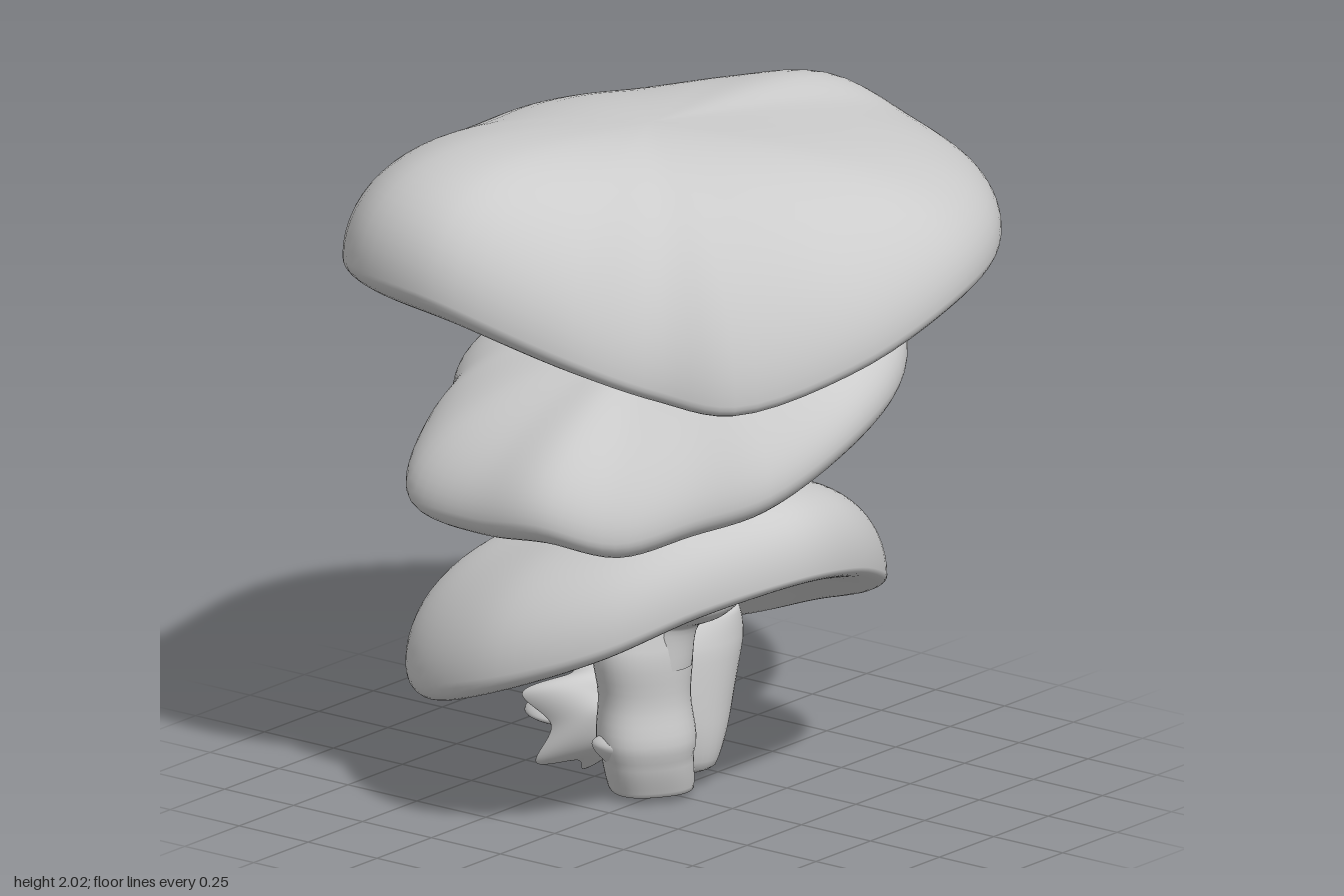
import * as THREE from 'three';
import { mergeVertices } from 'three/addons/utils/BufferGeometryUtils.js';

const material = new THREE.MeshStandardMaterial({ color: 0xcccccc });

// Smooth skin over a grid: u runs around (counter-clockwise from above), v from top to bottom
function skin(name, around, down, point) {
  const pos = [], index = [];
  for (let j = 0; j <= down; j++)
    for (let i = 0; i < around; i++) pos.push(...point(i / around, j / down));
  for (let j = 0; j < down; j++)
    for (let i = 0; i < around; i++) {
      const k = (i + 1) % around;
      const a = j * around + i, b = a + around, c = j * around + k, d = c + around;
      index.push(a, b, c, c, b, d);
    }
  let geo = new THREE.BufferGeometry();
  geo.setAttribute('position', new THREE.Float32BufferAttribute(pos, 3));
  geo.setIndex(index);
  geo = mergeVertices(geo, 1e-5);
  geo.computeVertexNormals();
  const mesh = new THREE.Mesh(geo, material);
  mesh.name = name;
  return mesh;
}

// Cap: a tilted plane that bends out to a wavy rim, a dome above it, a rolled lip and an underside.
// tilt is the slope along x and z, lean thins the dome toward +x, taper thins the lip toward +z;
// a negative hollow makes the underside swell downward.
function cap(name, rim, { centre, tilt = [0, 0], height, lean = 0, lip, taper = 0, hollow }) {
  const curve = new THREE.CatmullRomCurve3(rim.map(p => new THREE.Vector3(...p)), true);
  const [cx, cy, cz] = centre;
  return skin(name, 96, 44, (u, v) => {
    const p = curve.getPoint(u);
    const s = Math.sin(Math.PI * v);
    const dx = p.x - cx, dz = p.z - cz;
    const slope = tilt[0] * dx + tilt[1] * dz;
    const wave = p.y - cy - slope;
    const rise = v <= 0.5
      ? (height - lean * dx * s) * Math.sqrt(Math.max(0, 1 - s ** 3))
      : hollow * (1 - s * s) - (lip - taper * dz * s) * Math.sqrt(Math.max(0, 1 - s ** 8));
    return [cx + dx * s, cy + slope * s + wave * s * s + rise, cz + dz * s];
  });
}

// Stalk: smooth stack of elliptical rings [x, y, z, rx, rz] from top to bottom, optionally fluted
function stalk(name, rings, flute = 0) {
  const centres = new THREE.CatmullRomCurve3(rings.map(r => new THREE.Vector3(r[0], r[1], r[2])));
  const radii = new THREE.CatmullRomCurve3(rings.map(r => new THREE.Vector3(r[3], 0, r[4])));
  return skin(name, 40, 30, (u, v) => {
    const c = centres.getPoint(v), r = radii.getPoint(v), a = u * Math.PI * 2;
    const w = 1 + flute * Math.sin(4 * a + 1) * v;
    return [c.x + Math.max(0, r.x) * w * Math.cos(a), c.y, c.z - Math.max(0, r.z) * w * Math.sin(a)];
  });
}

export function createModel() {
  const model = new THREE.Group();
  model.name = 'stackedMushrooms';

  model.add(cap('topCap', [
    [0.88, 1.83, -0.02], [0.86, 1.74, -0.33], [0.67, 1.6, -0.68], [0.48, 1.56, -0.83],
    [0.2, 1.56, -0.87], [-0.25, 1.6, -0.76], [-0.42, 1.62, -0.71], [-0.6, 1.63, -0.68],
    [-0.84, 1.68, -0.45], [-0.91, 1.67, -0.12], [-0.76, 1.53, 0.22], [-0.55, 1.41, 0.41],
    [-0.43, 1.37, 0.6], [-0.12, 1.47, 0.81], [0.27, 1.6, 0.87], [0.57, 1.65, 0.77],
    [0.8, 1.69, 0.55], [0.91, 1.74, 0.25],
  ], { centre: [0, 1.62, -0.05], tilt: [0.02, -0.04], height: 0.37, lean: 0.09, lip: 0.1, hollow: -0.03 }));

  model.add(cap('middleCap', [
    [0.68, 1.46, 0.08], [0.63, 1.41, -0.25], [0.48, 1.32, -0.54], [0.22, 1.22, -0.67],
    [-0.05, 1.12, -0.7], [-0.21, 1.08, -0.62], [-0.34, 1.01, -0.61], [-0.59, 0.95, -0.46],
    [-0.67, 0.95, -0.17], [-0.69, 0.98, 0.08], [-0.59, 0.94, 0.29], [-0.43, 1, 0.45],
    [-0.28, 1.07, 0.61], [0, 1.22, 0.71], [0.3, 1.32, 0.64], [0.55, 1.42, 0.4],
  ], { centre: [0, 1.18, 0], tilt: [0.37, 0.08], height: 0.24, lip: 0.1, hollow: -0.06 }));

  model.add(cap('bottomCap', [
    [0.72, 0.45, 0.02], [0.7, 0.38, -0.22], [0.5, 0.38, -0.41], [0.23, 0.5, -0.42],
    [0.02, 0.56, -0.45], [-0.2, 0.47, -0.56], [-0.42, 0.41, -0.59], [-0.62, 0.41, -0.4],
    [-0.72, 0.5, -0.08], [-0.62, 0.62, 0.25], [-0.4, 0.73, 0.45], [-0.1, 0.78, 0.59],
    [0.2, 0.73, 0.56], [0.47, 0.62, 0.44], [0.64, 0.52, 0.25],
  ], { centre: [0, 0.53, 0], tilt: [0, 0.28], height: 0.37, lip: 0.11, taper: 0.1, hollow: 0.18 }));

  // Stalk joining the two lower caps
  model.add(stalk('middleStalk', [
    [0.1, 1.22, 0.04, 0.12, 0.13], [0.11, 1.08, 0, 0.13, 0.13],
    [0.14, 0.92, -0.06, 0.14, 0.13], [0.16, 0.78, -0.11, 0.15, 0.14]]));

  // Root end: main stalk with a side lobe, and a small button cap in front
  model.add(stalk('lowerStalk', [
    [-0.04, 0.7, -0.04, 0.12, 0.12], [-0.05, 0.5, -0.04, 0.14, 0.13],
    [-0.05, 0.3, -0.03, 0.14, 0.13], [-0.05, 0.13, -0.02, 0.14, 0.13],
    [-0.02, 0.02, -0.03, 0.13, 0.12], [-0.02, 0, -0.03, 0, 0]], 0.05));
  model.add(stalk('sideLobe', [
    [0.22, 0.53, -0.03, 0, 0], [0.21, 0.5, -0.03, 0.12, 0.1], [0.18, 0.4, -0.03, 0.17, 0.12],
    [0.14, 0.22, -0.04, 0.16, 0.13], [0.12, 0.06, -0.04, 0.1, 0.11], [0.12, 0.01, -0.05, 0, 0]], 0.05));
  model.add(stalk('sideNub', [
    [-0.17, 0.22, -0.05, 0, 0], [-0.17, 0.17, -0.05, 0.04, 0.07], [-0.15, 0.09, -0.06, 0, 0]]));
  model.add(stalk('buttonCap', [
    [-0.02, 0.66, 0.1, 0, 0], [-0.02, 0.65, 0.1, 0.13, 0.1], [-0.01, 0.6, 0.1, 0.18, 0.13],
    [-0.01, 0.56, 0.1, 0.13, 0.1], [-0.03, 0.52, 0.07, 0.07, 0.06], [-0.04, 0.4, 0.02, 0.09, 0.09]]));

  // Ragged cup at the back of the root, opening backward
  const ragged = [];
  for (let i = 0; i < 10; i++) {
    const a = i * Math.PI / 5, tip = i % 2 === 0;
    const r = tip ? 0.17 + 0.02 * Math.sin(i * 2) : 0.13;
    ragged.push([r * Math.cos(a), (tip ? -0.08 : 0) + 0.05 * Math.sin(a + 0.5), -r * Math.sin(a)]);
  }
  const cup = cap('raggedCup', ragged, { centre: [0, 0, 0], height: 0.13, lip: 0.03, hollow: 0.06 });
  cup.rotation.x = Math.PI / 2 - 0.4;
  cup.position.set(-0.01, 0.19, -0.27);
  model.add(cup);
  model.add(stalk('rootFlap', [
    [0, 0.22, -0.36, 0, 0], [0, 0.21, -0.36, 0.07, 0.09],
    [0, 0.17, -0.36, 0.1, 0.12], [0, 0.13, -0.31, 0, 0]]));

  return model;
}
